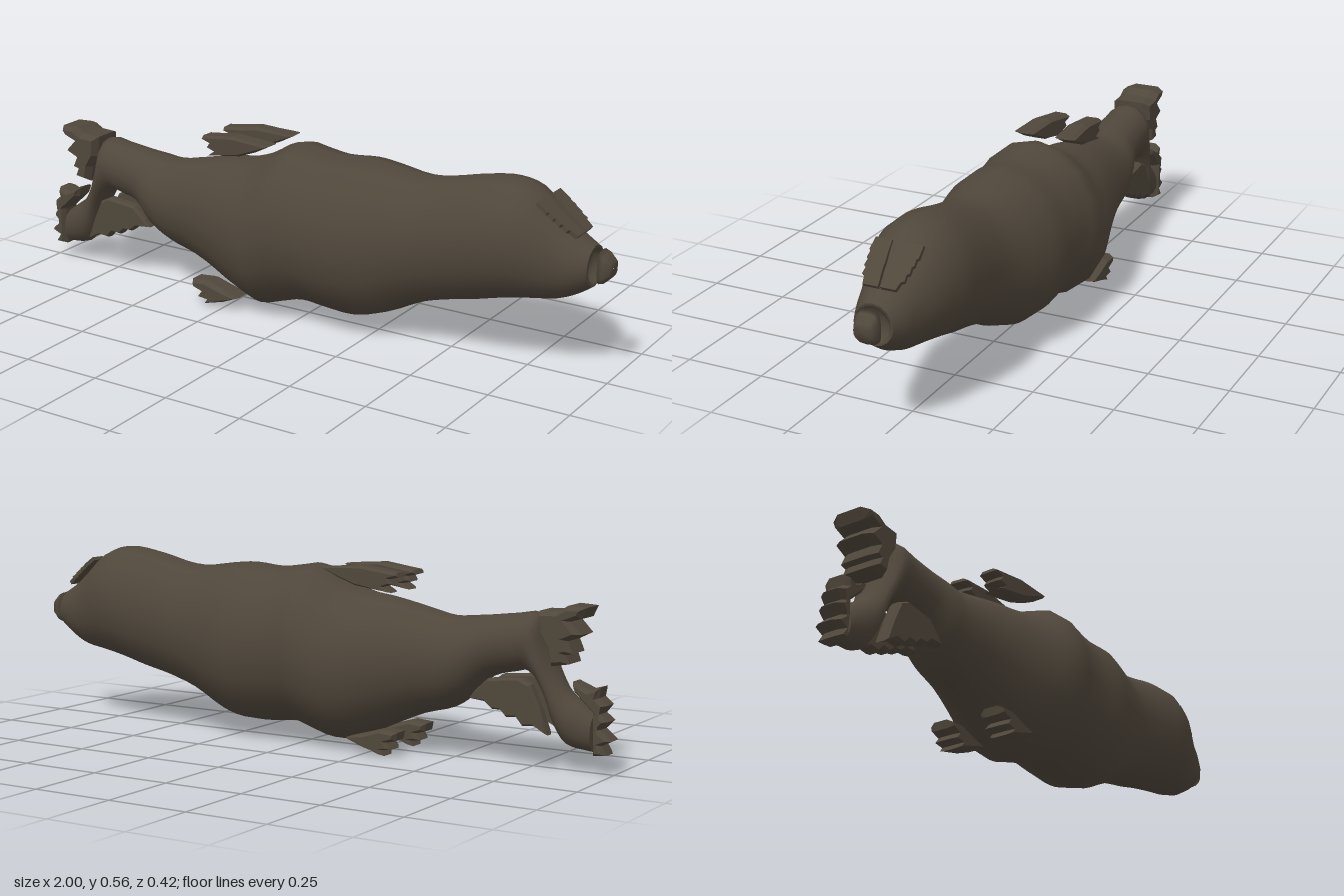
import * as THREE from 'three';

const hide = new THREE.MeshStandardMaterial({ color: 0x50473b });
hide.name = 'dark brown';

// Smooth skin through stations [topX, topY, bottomX, bottomY, halfWidth], running tail to nose
function loft(stations, steps, sides = 16, power = 1) {
  const V = (x, y, z) => new THREE.Vector3(x, y, z);
  const upper = new THREE.CatmullRomCurve3(stations.map(s => V(s[0], s[1], s[4])));
  const lower = new THREE.CatmullRomCurve3(stations.map(s => V(s[2], s[3], 0)));
  const rings = (stations.length - 1) * steps;
  const pos = [], index = [];
  const soft = v => Math.sign(v) * Math.pow(Math.abs(v), power);
  for (let i = 0; i <= rings; i++) {
    const a = upper.getPoint(i / rings), b = lower.getPoint(i / rings);
    for (let j = 0; j < sides; j++) {
      const t = j / sides * Math.PI * 2, c = soft(Math.cos(t)), s = soft(Math.sin(t));
      pos.push((a.x + b.x) / 2 + (a.x - b.x) / 2 * c, (a.y + b.y) / 2 + (a.y - b.y) / 2 * c, a.z * s);
      if (i < rings) {
        const k = (j + 1) % sides, p = i * sides + j, q = i * sides + k;
        index.push(p, q, p + sides, q, q + sides, p + sides);
      }
    }
  }
  const g = new THREE.BufferGeometry();
  g.setAttribute('position', new THREE.Float32BufferAttribute(pos, 3));
  g.setIndex(index);
  g.computeVertexNormals();
  return g;
}

// Bevelled slab from an outline, centred on its own depth
function slab(points, depth, bevel) {
  const shape = new THREE.Shape(points.map(p => new THREE.Vector2(p[0], p[1])));
  const g = new THREE.ExtrudeGeometry(shape, {
    depth: depth - 2 * bevel, bevelEnabled: bevel > 0, bevelThickness: bevel,
    bevelSize: bevel * 0.5, bevelOffset: -bevel * 0.5, bevelSegments: 1,
  });
  return g.translate(0, 0, -depth / 2 + bevel);
}

export function createModel() {
  const model = new THREE.Group();
  model.name = 'fish';
  const add = (name, geometry) => {
    const mesh = new THREE.Mesh(geometry, hide);
    mesh.name = name;
    model.add(mesh);
    return mesh;
  };

  // Body: curved tail root, then upright oval sections
  const tail = [
    [-0.94, 0.17, -0.94, 0.06, 0.04],
    [-0.90, 0.20, -0.86, 0.075, 0.055],
    [-0.86, 0.23, -0.825, 0.12, 0.06],
    [-0.815, 0.30, -0.80, 0.20, 0.065],
    [-0.79, 0.37, -0.765, 0.26, 0.075],
    [-0.77, 0.445, -0.73, 0.278, 0.08],
  ];
  const upright = [ // x, top, bottom, half width
    [-0.70, 0.44, 0.272, 0.08], [-0.62, 0.43, 0.25, 0.088],
    [-0.56, 0.424, 0.19, 0.108], [-0.50, 0.42, 0.15, 0.115],
    [-0.40, 0.44, 0.122, 0.13], [-0.30, 0.462, 0.08, 0.155],
    [-0.20, 0.477, 0.035, 0.185], [-0.13, 0.50, 0.016, 0.203],
    [-0.04, 0.548, 0.04, 0.21], [0.02, 0.542, 0.056, 0.20],
    [0.10, 0.532, 0.05, 0.197], [0.20, 0.54, 0.046, 0.20],
    [0.28, 0.534, 0.065, 0.183], [0.40, 0.52, 0.123, 0.15],
    [0.50, 0.535, 0.155, 0.143], [0.60, 0.558, 0.178, 0.147],
    [0.68, 0.566, 0.20, 0.148], [0.76, 0.55, 0.216, 0.13],
    [0.85, 0.475, 0.232, 0.095], [0.90, 0.435, 0.255, 0.08],
    [0.945, 0.408, 0.285, 0.06],
  ].map(([x, t, b, w]) => [x, t, x, b, w]);
  add('body', loft([...tail, ...upright], 3));

  // End caps: flat tail root and recessed nose socket
  add('tailCap', loft([[-0.94, 0.116, -0.94, 0.114, 0.001], [-0.94, 0.17, -0.94, 0.06, 0.04]], 1));
  const socket = [[0.945, 0.408, 0.285, 0.06], [0.945, 0.395, 0.297, 0.05],
    [0.92, 0.393, 0.299, 0.048], [0.92, 0.348, 0.346, 0.001]];
  add('noseSocket', loft(socket.map(([x, t, b, w]) => [x, t, x, b, w]), 1));

  // Nose: separate blunt tip in front of the snout
  const nose = [[0.965, 0.351, 0.349, 0.001], [0.965, 0.40, 0.30, 0.036],
    [0.98, 0.393, 0.305, 0.036], [1.0, 0.372, 0.325, 0.028], [1.0, 0.351, 0.349, 0.001]];
  add('nose', loft(nose.map(([x, t, b, w]) => [x, t, x, b, w]), 1, 16, 0.6));

  // Upper and lower tail fins with ragged trailing edges
  add('upperTailFin', slab([
    [-0.78, 0.455], [-0.84, 0.458], [-0.87, 0.475], [-0.925, 0.472], [-0.91, 0.44], [-0.875, 0.43],
    [-0.91, 0.395], [-0.87, 0.375], [-0.885, 0.34], [-0.865, 0.335], [-0.875, 0.31], [-0.82, 0.30],
    [-0.81, 0.35], [-0.785, 0.39],
  ], 0.13, 0.025));
  add('lowerTailFin', slab([
    [-0.945, 0.055], [-0.985, 0.058], [-0.97, 0.085], [-1.0, 0.10], [-0.965, 0.13], [-0.99, 0.155],
    [-0.965, 0.175], [-0.985, 0.20], [-0.96, 0.22], [-0.965, 0.25], [-0.93, 0.24], [-0.88, 0.26],
    [-0.885, 0.23], [-0.945, 0.175],
  ], 0.085, 0.02));

  const dorsal = [[-0.34, 0.54], [-0.30, 0.545], [-0.22, 0.556], [-0.09, 0.546], [-0.14, 0.52],
    [-0.20, 0.497], [-0.32, 0.48], [-0.295, 0.497], [-0.325, 0.505], [-0.315, 0.52], [-0.345, 0.528]];
  const belly = [[-0.365, 0.075], [-0.31, 0.08], [-0.25, 0.062], [-0.19, 0.045], [-0.25, 0.02],
    [-0.32, 0.001], [-0.31, 0.018], [-0.345, 0.022], [-0.33, 0.042], [-0.36, 0.05]];
  const anal = [[-0.82, 0.105], [-0.795, 0.18], [-0.765, 0.245], [-0.73, 0.262], [-0.63, 0.252],
    [-0.59, 0.215], [-0.57, 0.19], [-0.62, 0.185], [-0.645, 0.165], [-0.67, 0.165],
    [-0.69, 0.145], [-0.72, 0.148], [-0.74, 0.125], [-0.775, 0.128]];
  // Half-brow outline: distance across, distance up the forehead
  const brow = [[0.003, 0], [0.05, 0], [0.055, 0.025], [0.064, 0.03], [0.062, 0.05], [0.069, 0.055],
    [0.067, 0.075], [0.072, 0.08], [0.07, 0.10], [0.075, 0.105], [0.073, 0.145], [0.022, 0.145],
    [0.019, 0.11], [0.015, 0.085], [0.012, 0.055]];
  const slope = new THREE.Matrix4().makeBasis(
    new THREE.Vector3(0, 0, -1), new THREE.Vector3(-0.8, 0.6, 0), new THREE.Vector3(0.6, 0.8, 0),
  ).setPosition(0.907, 0.437, 0);

  // Paired fins and brow plates
  for (const [side, s] of [['left', -1], ['right', 1]]) {
    const top = add(side + 'DorsalFin', slab(dorsal, 0.066, 0.014));
    top.rotation.y = s * 0.06;
    top.position.z = -s * 0.062;
    top.position.z -= s * 0.0 + s * 0.2 * 0.04;
    top.position.z -= s * 0.005;
    add(side + 'BellyFin', slab(belly, 0.08, 0.018)).position.z = -s * 0.088;
    add(side + 'AnalFin', slab(anal, 0.045, 0.012)).position.z = -s * 0.045;
    add(side + 'Brow', slab(brow.map(([u, v]) => [u * s, v]), 0.012, 0).applyMatrix4(slope));
  }
  return model;
}
